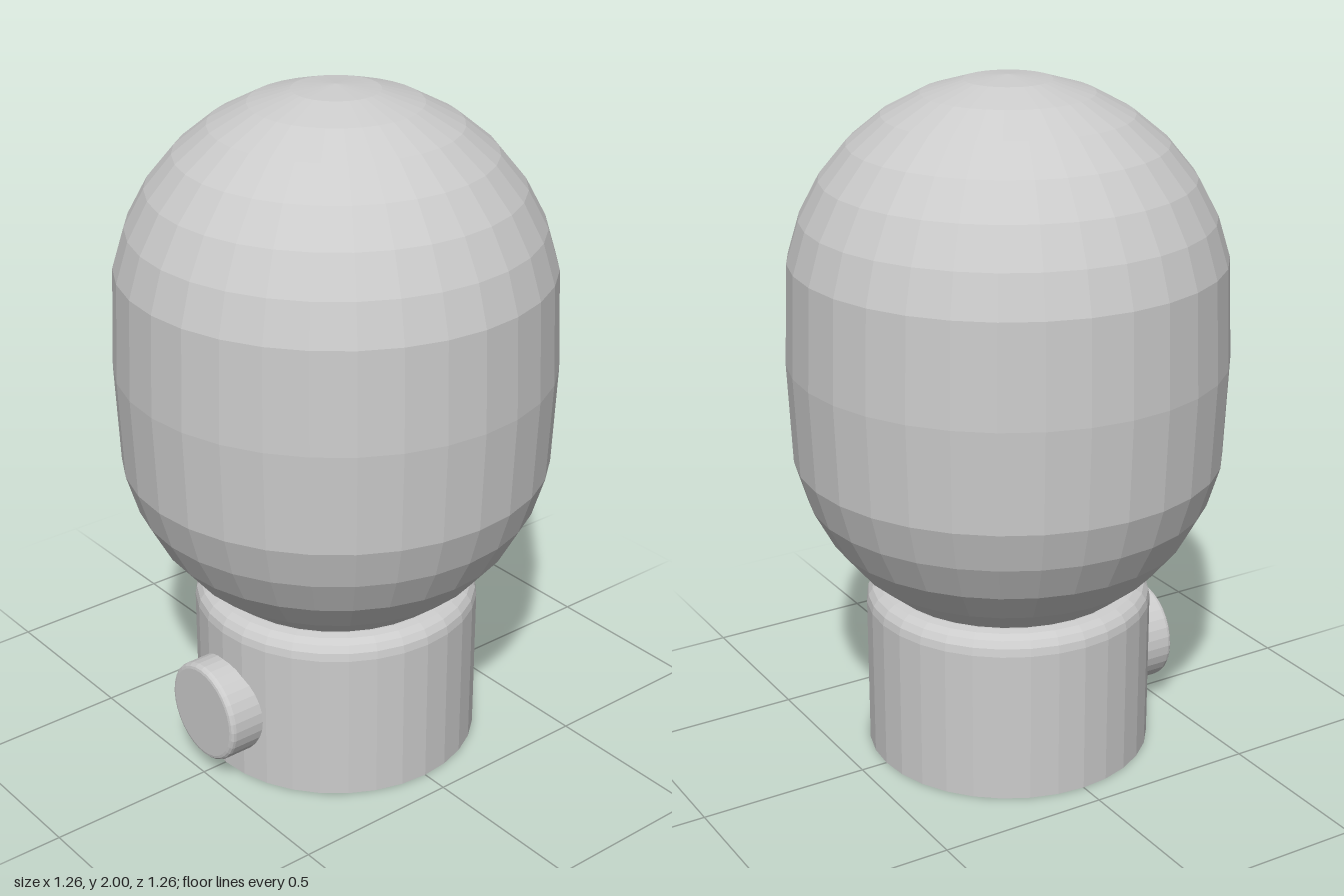
import * as THREE from 'three';

const material = new THREE.MeshStandardMaterial({ color: 0xcccccc, flatShading: true });

// Turned part with a flat bottom and a rounded upper rim
function roundedPuck(radius, height, bevel, segments, steps) {
  const points = [new THREE.Vector2(0, 0), new THREE.Vector2(radius, 0)];
  for (let i = 0; i <= steps; i++) {
    const a = (i / steps) * Math.PI / 2;
    points.push(new THREE.Vector2(
      radius - bevel + bevel * Math.cos(a),
      height - bevel + bevel * Math.sin(a)
    ));
  }
  points.push(new THREE.Vector2(0, height));
  return new THREE.LatheGeometry(points, segments);
}

// Sphere whose halves are pulled apart around the equator
function stretchedGlobe(radius, stretch) {
  const geometry = new THREE.SphereGeometry(radius, 32, 16);
  const pos = geometry.attributes.position;
  for (let i = 0; i < pos.count; i++) {
    const y = pos.getY(i);
    if (Math.abs(y) > 1e-4) pos.setY(i, y + Math.sign(y) * stretch);
  }
  geometry.computeVertexNormals();
  return geometry;
}

export function createModel() {
  const group = new THREE.Group();
  const add = (name, geometry) => {
    const mesh = new THREE.Mesh(geometry, material);
    mesh.name = name;
    group.add(mesh);
    return mesh;
  };

  // Cylindrical foot with a soft top edge
  add('base', roundedPuck(0.42, 0.51, 0.06, 32, 4));

  // Lamp globe sitting in the foot
  add('globe', stretchedGlobe(0.63, 0.17)).position.y = 1.2;

  // Round dimmer knob on the front
  const knob = add('knob', roundedPuck(0.15, 0.12, 0.015, 32, 3));
  knob.rotation.x = Math.PI / 2;
  knob.position.set(0, 0.21, 0.38);

  return group;
}
